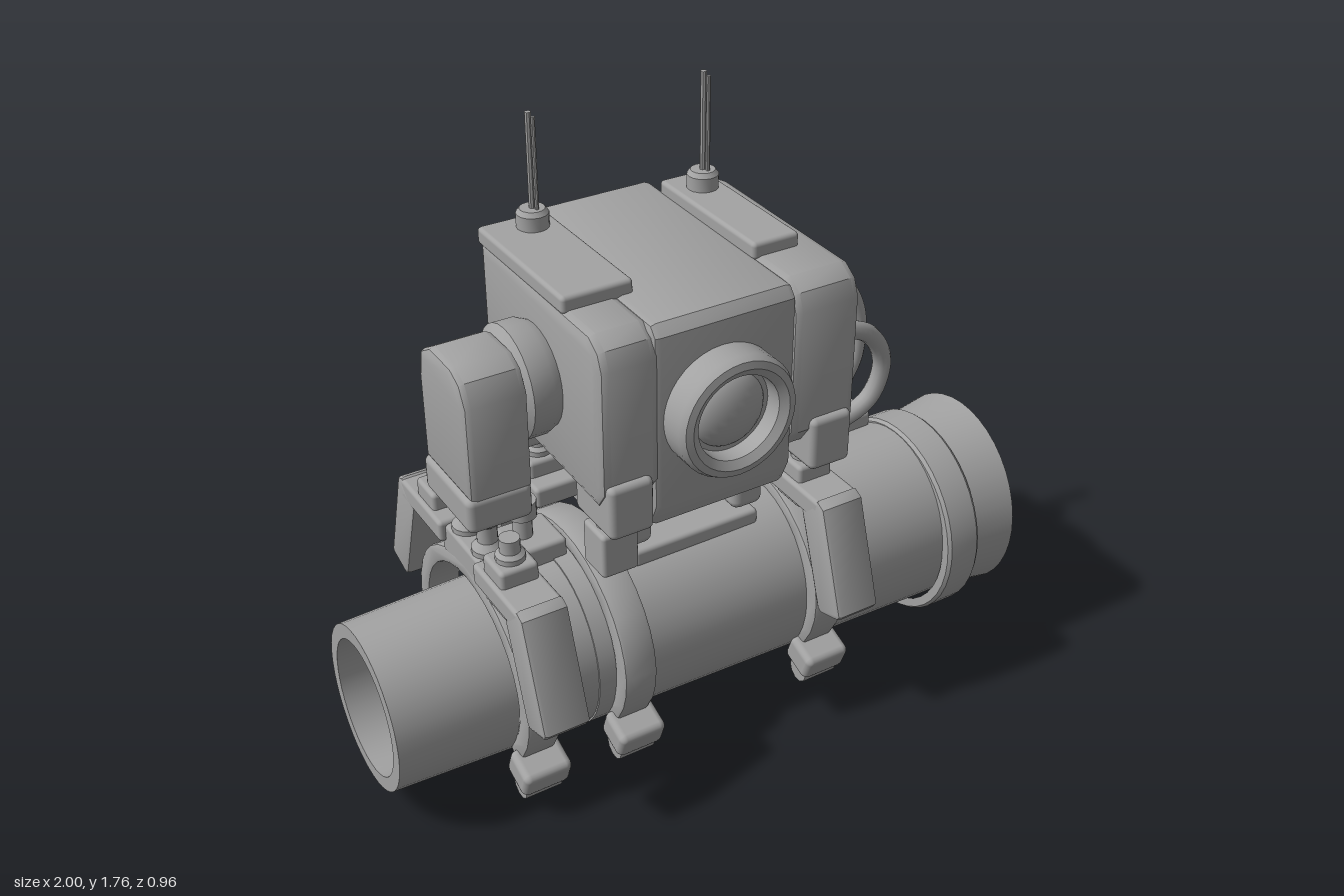
import * as THREE from 'three';
import { RoundedBoxGeometry } from 'three/addons/geometries/RoundedBoxGeometry.js';
import { toCreasedNormals } from 'three/addons/utils/BufferGeometryUtils.js';

const metal = new THREE.MeshStandardMaterial({ color: 0xa3a3a3 });
metal.name = 'grey metal';

export function createModel() {
  const model = new THREE.Group();
  model.name = 'pipeDevice';

  const add = (name, geometry) => {
    const mesh = new THREE.Mesh(geometry, metal);
    mesh.name = name;
    model.add(mesh);
    return mesh;
  };
  // Rounded box given by its limits on each axis
  const box = (name, x0, x1, y0, y1, z0, z1, r = 0.012) => {
    const g = new RoundedBoxGeometry(x1 - x0, y1 - y0, z1 - z0, 2, r);
    g.translate((x0 + x1) / 2, (y0 + y1) / 2, (z0 + z1) / 2);
    return add(name, g);
  };
  // Solid of revolution from [radius, distance] pairs, along a chosen axis
  const turned = (name, profile, axis, pos, seg = 24) => {
    const g = toCreasedNormals(new THREE.LatheGeometry(profile.map(p => new THREE.Vector2(p[0], p[1])), seg), 0.6);
    if (axis === 'x') g.rotateZ(-Math.PI / 2);
    if (axis === 'z') g.rotateX(Math.PI / 2);
    g.translate(...pos);
    return add(name, g);
  };
  const rod = (name, axis, r, len, pos, seg = 16) =>
    turned(name, [[0, 0], [r, 0], [r, len], [0, len]], axis, pos, seg);
  // Side profile of [z, y] pairs, extruded along x with a bevel
  const slab = (name, profile, x0, x1, b = 0.012) => {
    const shape = new THREE.Shape(profile.map(([z, y]) => new THREE.Vector2(-z, y)));
    const g = new THREE.ExtrudeGeometry(shape, {
      depth: x1 - x0 - 2 * b, bevelThickness: b, bevelSize: b, bevelOffset: -b, bevelSegments: 2, curveSegments: 24,
    });
    g.rotateY(Math.PI / 2).translate(x0 + b, 0, 0);
    return add(name, toCreasedNormals(g, 0.6));
  };
  const tube = (name, points, r) => add(name, new THREE.TubeGeometry(
    new THREE.CatmullRomCurve3(points.map(p => new THREE.Vector3(...p))), 40, r, 12));

  // Hollow tapered pipe with a collar and a flared mouth
  const pipe = turned('pipe', [[0.2, -1], [0.243, -1], [0.262, -0.42], [0.267, -0.42], [0.287, 0.745],
    [0.287, 0.86], [0.31, 1], [0.265, 1], [0.235, 0.9], [0.21, 0.86], [0.2, -1]], 'x', [0, 0, 0], 40);
  const collar = turned('collar', [[0.28, 0.745], [0.307, 0.745], [0.315, 0.755], [0.315, 0.85],
    [0.307, 0.86], [0.28, 0.86]], 'x', [0, 0, 0], 40);
  pipe.position.set(0, 0.335, 0.05);
  collar.position.set(0, 0.317, 0.05);
  pipe.scale.z = 0.92;
  collar.scale.z = 0.95;
  for (let i = 0; i < 8; i++) {
    const a = (i + 0.5) * Math.PI / 4;
    const notch = box('mouthLug', 0.92, 0.985, -0.05, 0.05, 0.235, 0.27, 0.008);
    notch.geometry.translate(-0.95, 0, -0.25);
    notch.rotation.x = a;
    notch.position.set(0.95, 0.335 - Math.sin(a) * 0.25, 0.05 + Math.cos(a) * 0.23);
  }

  // Clamps: strap, end clips, shoulder and splayed legs
  const strapShape = [];
  const arc = (ry, rz, from, to) => {
    for (let i = 0; i <= 24; i++) {
      const a = THREE.MathUtils.degToRad(from + (to - from) * i / 24);
      strapShape.push([0.01 + Math.cos(a) * rz, 0.35 + Math.sin(a) * ry]);
    }
  };
  arc(0.305, 0.34, -42, 222);
  arc(0.255, 0.28, 222, -42);
  const leg = [[0.35, 0.73], [0.38, 0.715], [0.48, 0.41], [0.47, 0.395], [0.39, 0.37], [0.375, 0.38], [0.28, 0.66]];
  for (const [x, hasFront] of [[-0.615, true], [-0.32, false], [0.305, true]]) {
    slab('strap', strapShape, x - 0.05, x + 0.05, 0.01);
    for (const s of [1, -1]) {
      const zc = s > 0 ? 0.3 : -0.27;
      const clip = box('clip', -0.072, 0.072, -0.045, 0.045, -0.055, 0.055, 0.02);
      clip.position.set(x, 0.14, zc);
      clip.rotation.x = s * 0.35;
      const foot = rod('clipFoot', 'x', 0.038, 0.11, [x - 0.055, 0.08, zc - s * 0.015], 10);
      foot.name = 'clipFoot';
      const w = 0.068;
      if (s < 0 || hasFront) {
        slab('leg', leg.map(([z, y]) => [z * s, y]), x - w, x + w);
        box('shoulder', x - w, x + w, 0.66, 0.725, s > 0 ? 0.1 : -0.36, s > 0 ? 0.36 : -0.1);
      }
      // Post rising from the clamp
      const zp = s > 0 ? 0.195 : -0.215;
      box('postBase', x - 0.055, x + 0.055, 0.64, 0.775, zp - 0.055, zp + 0.055);
      turned('post', [[0, 0.76], [0.04, 0.76], [0.04, 0.79], [0.028, 0.8], [0.028, 0.84], [0, 0.84]], 'y', [x, 0, zp], 16);
    }
  }

  // Central housing
  slab('housing', [[0.31, 0.86], [0.31, 1.36], [0.285, 1.39], [-0.42, 1.4], [-0.45, 1.375], [-0.45, 0.88],
    [-0.42, 0.82], [-0.36, 0.77], [0.24, 0.77], [0.28, 0.79]], -0.25, 0.175, 0.02);

  // Side housings with top plates, aerials and foot blocks
  const sideProfile = [[0.315, 0.95], [0.315, 1.31], [0.295, 1.36], [0.25, 1.39], [-0.335, 1.395], [-0.335, 0.92], [0.28, 0.9]];
  for (const [x0, x1, p0, p1, f, ax, az, top] of [
    [-0.405, -0.235, -0.4, -0.195, -0.33, -0.27, -0.28, 1.75],
    [0.165, 0.375, 0.165, 0.31, 0.29, 0.245, -0.255, 1.765]]) {
    slab('sideHousing', sideProfile, x0, x1, 0.025);
    box('topPlate', p0, p1, 1.38, 1.43, -0.355, 0.12);
    turned('aerialBase', [[0, 0], [0.045, 0], [0.045, 0.045], [0.035, 0.058], [0, 0.058]], 'y', [ax, 1.425, az], 16);
    rod('aerial', 'y', 0.009, top - 1.45, [ax, 1.45, az], 8);
    rod('aerialTwin', 'y', 0.006, top - 1.46, [ax + 0.006, 1.45, az + 0.016], 8);
    box('frontFoot', f - 0.065, f + 0.065, 0.82, 0.98, 0.14, 0.335, 0.018);
    box('backFoot', f - 0.065, f + 0.065, 0.82, 0.98, -0.325, -0.165, 0.018);
  }

  // Lens: bezel and domed glass
  turned('lensBezel', [[0, 0], [0.175, 0], [0.175, 0.08], [0.165, 0.1], [0.145, 0.105], [0.122, 0.09],
    [0.12, 0.04], [0, 0.04]], 'z', [-0.05, 1.115, 0.3], 36);
  const dome = add('lensGlass', new THREE.SphereGeometry(0.108, 24, 16));
  dome.position.set(-0.05, 1.115, 0.33);
  dome.scale.z = 0.5;

  // Left-hand side pod with round coupling
  slab('sidePod', [[0.13, 0.92], [0.13, 1.2], [0.1, 1.26], [0.05, 1.285], [-0.07, 1.285], [-0.13, 1.25], [-0.145, 1.18],
    [-0.145, 0.92]], -0.685, -0.505, 0.02);
  box('podFoot', -0.695, -0.51, 0.83, 0.935, -0.14, 0.135, 0.02);
  turned('podCoupling', [[0, 0], [0.13, 0], [0.158, 0.02], [0.158, 0.08], [0.145, 0.11], [0, 0.11]], 'x', [-0.51, 1.145, -0.03], 28);
  for (const z of [-0.06, 0.06]) {
    turned('podPost', [[0, 0.7], [0.045, 0.7], [0.045, 0.73], [0.028, 0.75], [0.028, 0.8], [0.04, 0.81], [0.04, 0.84], [0, 0.84]],
      'y', [-0.615, 0, z], 16);
  }
  box('podSaddle', -0.665, -0.565, 0.62, 0.715, -0.13, 0.25);

  // Vertical conduit beside the pod
  rod('conduit', 'y', 0.028, 0.42, [-0.47, 0.63, -0.03]);
  rod('conduitCollar', 'y', 0.042, 0.05, [-0.47, 0.72, -0.03]);
  box('conduitBase', -0.525, -0.375, 0.58, 0.655, -0.1, 0.05);

  // Cross bar under the housing
  turned('crossBar', [[0, -0.2], [0.035, -0.2], [0.025, -0.1], [0.025, 0.05], [0.035, 0.15], [0, 0.15]], 'x', [0, 0.715, 0.1], 16);
  for (const x of [-0.215, 0.145]) {
    box('barBlock', x - 0.05, x + 0.05, 0.63, 0.745, 0.04, 0.16, 0.025);
    box('barBracket', x - 0.035, x + 0.035, 0.62, 0.78, -0.16, 0.04);
  }
  box('saddlePlate', -0.23, 0.17, 0.57, 0.622, -0.09, 0.17);

  // Cables on the right-hand side with their sockets and pipe flange
  const socket = [[0, 0], [0.085, 0], [0.085, 0.03], [0.075, 0.042], [0.052, 0.045], [0.052, 0.11], [0.035, 0.125], [0, 0.125]];
  turned('upperSocket', socket, 'x', [0.365, 1.15, -0.14]);
  turned('lowerSocket', socket, 'x', [0.365, 1.04, 0.045]);
  tube('upperCable', [[0.45, 1.15, -0.14], [0.54, 1.145, -0.14], [0.64, 1.09, -0.135], [0.71, 0.97, -0.13],
    [0.71, 0.82, -0.125], [0.67, 0.73, -0.125], [0.65, 0.64, -0.125]], 0.028);
  tube('lowerCable', [[0.45, 1.04, 0.045], [0.54, 1.03, 0.04], [0.64, 0.98, 0.03], [0.7, 0.87, 0.02], [0.67, 0.75, 0.01],
    [0.57, 0.695, 0], [0.46, 0.7, 0], [0.35, 0.735, 0]], 0.028);
  box('cableFlange', 0.57, 0.735, 0.57, 0.645, -0.2, -0.055, 0.015);
  rod('flangeCollar', 'y', 0.048, 0.05, [0.65, 0.63, -0.125]);
  box('cableAnchor', 0.245, 0.375, 0.62, 0.77, -0.06, 0.06, 0.02);

  return model;
}
